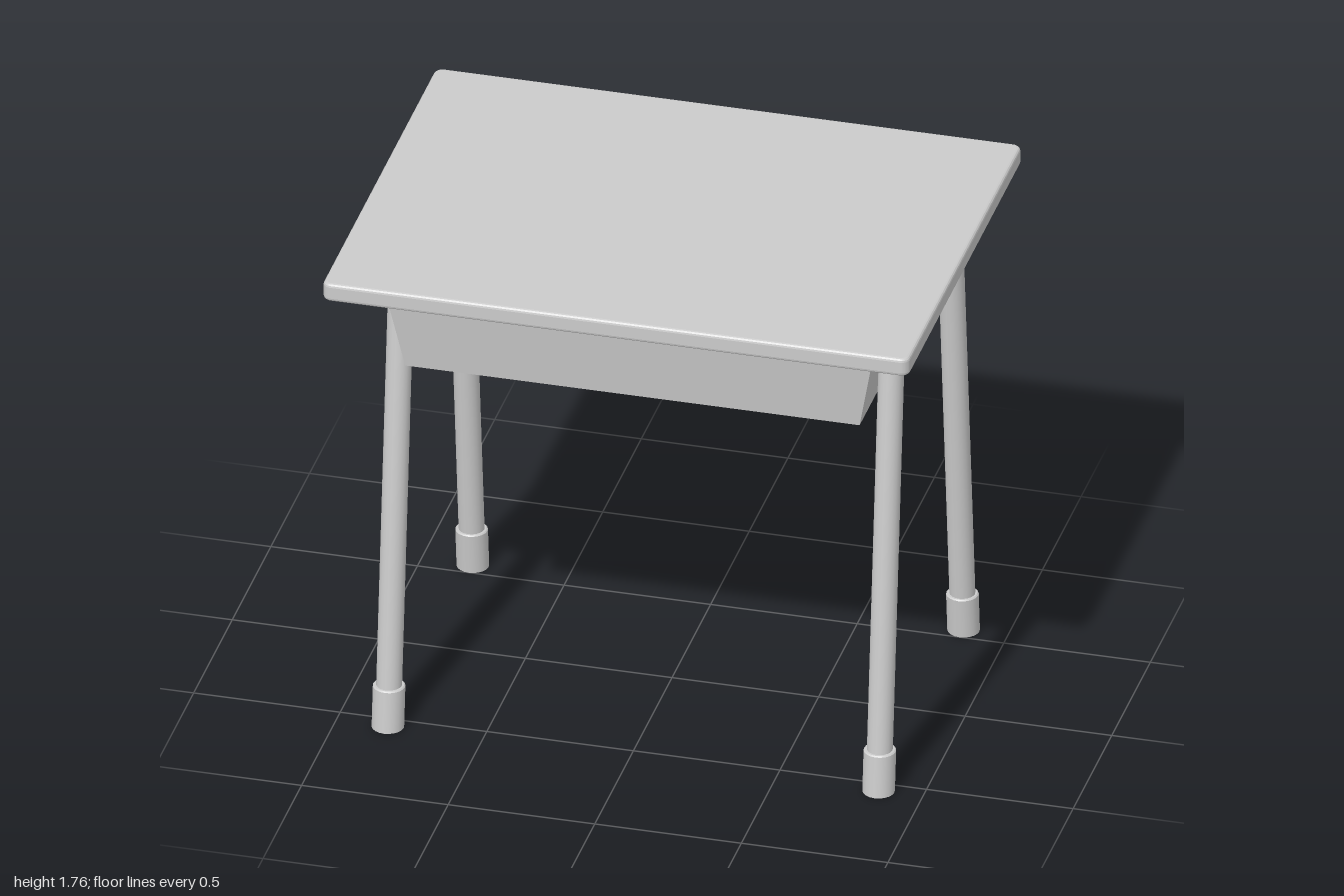
import * as THREE from 'three';

const grey = new THREE.MeshStandardMaterial({ color: 0xcccccc });
const greyOpen = new THREE.MeshStandardMaterial({ color: 0xcccccc, side: THREE.DoubleSide });

function addMesh(parent, name, geometry, material = grey) {
  const mesh = new THREE.Mesh(geometry, material);
  mesh.name = name;
  parent.add(mesh);
  return mesh;
}

// Slab with rounded corners and softly bevelled rims
function tabletopGeometry() {
  const bevel = 0.012, r = 0.018, w = 1 - bevel, d = 0.74 - bevel;
  const s = new THREE.Shape();
  s.moveTo(-w + r, -d);
  s.absarc(w - r, -d + r, r, -Math.PI / 2, 0);
  s.absarc(w - r, d - r, r, 0, Math.PI / 2);
  s.absarc(-w + r, d - r, r, Math.PI / 2, Math.PI);
  s.absarc(-w + r, -d + r, r, Math.PI, Math.PI * 1.5);
  const g = new THREE.ExtrudeGeometry(s, {
    depth: 0.065 - 2 * bevel, bevelThickness: bevel, bevelSize: bevel, bevelSegments: 3, curveSegments: 5,
  });
  return g.rotateX(-Math.PI / 2).translate(0, 1.7 + bevel, 0);
}

const TRAY = { bottom: 1.387, top: 1.702, w: 0.775, d: 0.558, flare: 0.08, wall: 0.03 };

// Box between two corners, widened towards the top like the tray
function trayPanel(x0, x1, y0, y1, z0, z1) {
  const g = new THREE.BoxGeometry(x1 - x0, y1 - y0, z1 - z0);
  g.translate((x0 + x1) / 2, (y0 + y1) / 2, (z0 + z1) / 2);
  const p = g.attributes.position;
  for (let i = 0; i < p.count; i++) {
    const k = 1 + TRAY.flare * (p.getY(i) - TRAY.bottom) / (TRAY.top - TRAY.bottom);
    p.setX(i, p.getX(i) * k);
    p.setZ(i, p.getZ(i) * k);
  }
  g.computeVertexNormals();
  return g;
}

// Book tray, open at the back
function createTray() {
  const { bottom, top, w, d, wall } = TRAY;
  const tray = new THREE.Group();
  tray.name = 'bookTray';
  const floorTop = bottom + wall;
  addMesh(tray, 'trayFloor', trayPanel(-w, w, bottom, floorTop, -d, d));
  addMesh(tray, 'trayFront', trayPanel(-w + wall, w - wall, floorTop, top, d - wall, d));
  addMesh(tray, 'trayLeftSide', trayPanel(w - wall, w, floorTop, top, -d, d));
  addMesh(tray, 'trayRightSide', trayPanel(-w, -w + wall, floorTop, top, -d, d));
  return tray;
}

const SPLAY = 0.108, FOOT_Z = 0.55;

// One bent tube forming a front leg, the top bar and a back leg
function legFrameGeometry() {
  const barY = 1.688, bendY = 1.555, bendZ = 0.235;
  const at = (y, side) => new THREE.Vector3(0, y, side * (FOOT_Z - SPLAY * y));
  const path = new THREE.CurvePath();
  const barFront = new THREE.Vector3(0, barY, bendZ);
  const barBack = new THREE.Vector3(0, barY, -bendZ);
  path.add(new THREE.LineCurve3(at(0.12, 1), at(bendY, 1)));
  path.add(new THREE.QuadraticBezierCurve3(at(bendY, 1), at(barY, 1), barFront));
  path.add(new THREE.LineCurve3(barFront, barBack));
  path.add(new THREE.QuadraticBezierCurve3(barBack, at(barY, -1), at(bendY, -1)));
  path.add(new THREE.LineCurve3(at(bendY, -1), at(0.12, -1)));
  return new THREE.TubeGeometry(path, 90, 0.043, 20, false);
}

// Hollow sleeve, sheared to follow the splay of the leg
function footGeometry(side) {
  const wallGeo = new THREE.LatheGeometry(
    [[0.054, 0], [0.054, 0.146], [0.054, 0.146], [0.05, 0.15], [0.05, 0.15], [0.04, 0.15]]
      .map(([r, y]) => new THREE.Vector2(r, y)), 20);
  const shear = new THREE.Matrix4().set(
    1, 0, 0, 0,
    0, 1, 0, 0,
    0, -side * SPLAY, 1, side * FOOT_Z,
    0, 0, 0, 1);
  return wallGeo.applyMatrix4(shear);
}

export function createModel() {
  const desk = new THREE.Group();
  desk.name = 'schoolDesk';
  addMesh(desk, 'tabletop', tabletopGeometry());

  // Underframe sits a touch off the tabletop's centre
  const base = new THREE.Group();
  base.name = 'base';
  base.position.x = 0.012;
  desk.add(base);
  base.add(createTray());

  for (const [label, x] of [['left', 0.837], ['right', -0.837]]) {
    const frame = new THREE.Group();
    frame.name = label + 'LegFrame';
    frame.position.set(x, 0, -0.003);
    addMesh(frame, label + 'LegTube', legFrameGeometry(), greyOpen);
    addMesh(frame, label + 'FrontFoot', footGeometry(1), greyOpen);
    addMesh(frame, label + 'BackFoot', footGeometry(-1), greyOpen);
    base.add(frame);
  }
  return desk;
}
